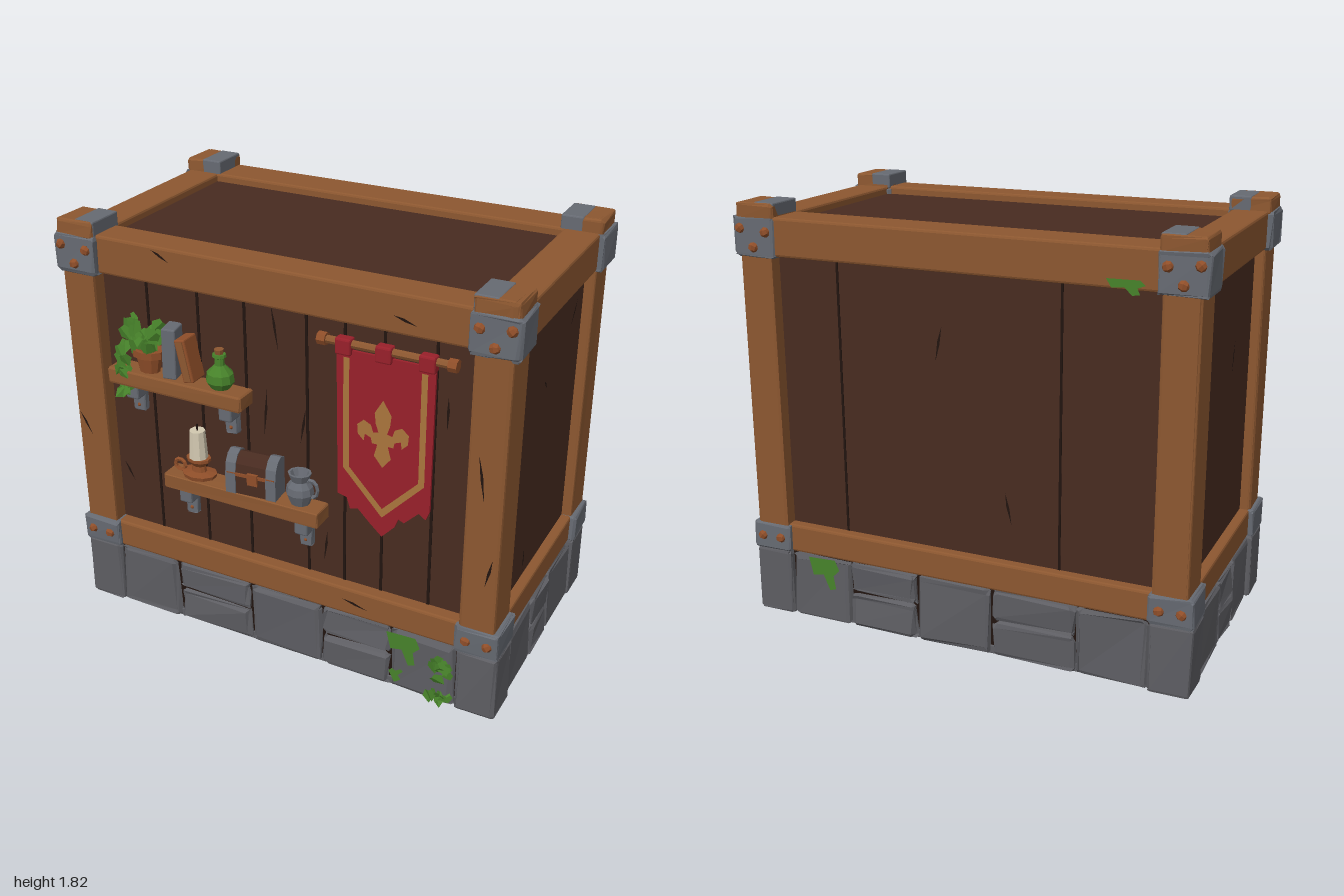
import * as THREE from 'three';
import { RoundedBoxGeometry } from 'three/addons/geometries/RoundedBoxGeometry.js';

const paint = (name, color, side = THREE.FrontSide) => new THREE.MeshStandardMaterial({ name, color, side });

// Hard facets for the chiselled low-poly look
function flat(geo) {
  const g = geo.index ? geo.toNonIndexed() : geo;
  g.computeVertexNormals();
  return g;
}

// Repeatable noise from a position, so shared corners move together
const hash = (x, y, z) => {
  const s = Math.sin(Math.round(x * 500) * 12.99 + Math.round(y * 500) * 78.23 + Math.round(z * 500) * 37.72) * 43758.5453;
  return s - Math.floor(s) - 0.5;
};

export function createModel() {
  const model = new THREE.Group();
  model.name = 'woodenStall';
  const wood = paint('wood', 0x8c5730);
  const darkWood = paint('darkWood', 0x482b20);
  const crackMat = paint('crack', 0x21140f, THREE.DoubleSide);
  const stone = paint('stone', 0x5d5d62);
  const metal = paint('metal', 0x666a72);
  const red = paint('redCloth', 0x98202a);
  const gold = paint('gold', 0xa9743c, THREE.DoubleSide);
  const green = paint('green', 0x47822a, THREE.DoubleSide);
  const cream = paint('wax', 0xd2c8b0);
  const clay = paint('clay', 0x8f4e29);

  function add(name, geo, mat, pos = [0, 0, 0], rot = [0, 0, 0], scale = [1, 1, 1], parent = model) {
    const m = new THREE.Mesh(geo, mat);
    m.name = name;
    m.position.set(...pos);
    m.rotation.set(...rot);
    m.scale.set(...scale);
    parent.add(m);
    return m;
  }
  // Chamfered box given by its limits, optionally roughened
  function block(name, mat, [x0, x1], [y0, y1], [z0, z1], bevel = 0.01, rough = 0) {
    const c = [(x0 + x1) / 2, (y0 + y1) / 2, (z0 + z1) / 2];
    const g = new RoundedBoxGeometry(x1 - x0, y1 - y0, z1 - z0, 1, bevel);
    const p = g.attributes.position;
    for (let i = 0; rough && i < p.count; i++) {
      const [x, y, z] = [p.getX(i) + c[0], p.getY(i) + c[1], p.getZ(i) + c[2]];
      p.setXYZ(i, p.getX(i) + rough * hash(x, y, z), p.getY(i) + (y < 0.02 ? 0 : rough * hash(y, z, x)), p.getZ(i) + rough * hash(z, x, y));
    }
    return add(name, flat(g), mat, c);
  }
  const span = (s, a, b) => (s > 0 ? [a, b] : [-b, -a]);
  const lathe = (pts, n = 10) => flat(new THREE.LatheGeometry(pts.map(p => new THREE.Vector2(...p)), n));

  // Stone footing: core, underside and corner stones
  block('footingJoints', crackMat, [-0.955, 0.955], [0.01, 0.3], [-0.55, 0.525]);
  block('footingUnderside', stone, [-0.96, 0.96], [0.002, 0.04], [-0.555, 0.53], 0.004);
  const zFront = [0.385, 0.552], zBack = [-0.582, -0.41];
  for (const s of [1, -1]) for (const z of [zFront, zBack])
    block('cornerStone', stone, span(s, 0.815, 0.99), [0, 0.3], z, 0.014, 0.008);
  // Wall stones, some split into two courses
  const courses = split => (split ? [[0, 0.155], [0.163, 0.298]] : [[0, 0.298]]);
  const edges = [-0.81, -0.51, -0.14, 0.205, 0.525, 0.81];
  for (let i = 0; i < 5; i++) for (const y of courses(i % 2)) {
    block('frontStone', stone, [edges[i] + 0.004, edges[i + 1] - 0.004], y, [0.4, 0.543], 0.02, 0.018);
    block('backStone', stone, [edges[i] + 0.004, edges[i + 1] - 0.004], y, [-0.573, -0.43], 0.02, 0.018);
  }
  const sideEdges = [-0.408, -0.115, 0.105, 0.383];
  for (const s of [1, -1]) for (let i = 0; i < 3; i++) for (const y of courses(i === 1))
    block('sideStone', stone, span(s, 0.83, 0.98), y, [sideEdges[i] + 0.004, sideEdges[i + 1] - 0.004], 0.02, 0.018);

  // Dark plank body
  block('plankBody', darkWood, [-0.925, 0.925], [0.3, 1.725], [-0.525, 0.485], 0.004);
  for (const x of [-0.61, -0.37, -0.155, 0.12, 0.285, 0.45, 0.66])
    add('plankGap', new THREE.BoxGeometry(0.012, 1.18, 0.004), crackMat, [x, 1.01, 0.486]);
  for (const x of [0.55, -0.42])
    add('backPlankGap', new THREE.BoxGeometry(0.01, 1.18, 0.004), crackMat, [x, 1.01, -0.526]);

  // Timber frame
  for (const s of [1, -1]) {
    for (const z of [zFront, zBack]) block('post', wood, span(s, 0.82, 0.97), [0.3, 1.813], z, 0.012, 0.006);
    block('sideTopBeam', wood, span(s, 0.82, 0.972), [1.6, 1.758], [-0.45, 0.43]);
    block('sideBottomBeam', wood, span(s, 0.83, 0.968), [0.3, 0.425], [-0.45, 0.43]);
  }
  block('frontTopBeam', wood, [-0.85, 0.85], [1.6, 1.76], [0.385, 0.535]);
  block('frontBottomBeam', wood, [-0.85, 0.85], [0.3, 0.425], [0.4, 0.542]);
  block('backTopBeam', wood, [-0.85, 0.85], [1.6, 1.76], [-0.58, -0.4]);
  block('backBottomBeam', wood, [-0.85, 0.85], [0.3, 0.425], [-0.57, -0.42]);

  // Metal corner brackets with rivets, wooden caps and straps
  const rivet = flat(new THREE.SphereGeometry(0.022, 6, 4));
  for (const s of [1, -1]) for (const f of [1, -1]) {
    const z = f > 0 ? [0.377, 0.562] : [-0.59, -0.402], face = f > 0 ? 0.562 : -0.59;
    block('topBracket', metal, span(s, 0.8, 0.995), [1.592, 1.757], z, 0.014, 0.01);
    block('bottomBracket', metal, span(s, 0.806, 0.992), [0.3, 0.425], z, 0.012, 0.008);
    block('postCap', wood, span(s, 0.808, 0.982), [1.74, 1.813], f > 0 ? [0.378, 0.555] : [-0.585, -0.405], 0.012, 0.006);
    block('capStrap', metal, span(s, 0.806, 0.9), [1.75, 1.816], f > 0 ? [0.377, 0.545] : [-0.575, -0.404], 0.006);
    for (const [x, y] of [[0.84, 1.7], [0.96, 1.71], [0.9, 1.635], [0.855, 0.362], [0.945, 0.362]])
      add('rivet', rivet, clay, [s * x, y, face], [0, 0, x * 9], [1, 1, 0.9]);
  }

  // Slivers of split grain: x, y, z, length, tilt, turn about y
  const sliver = new THREE.BufferGeometry();
  sliver.setAttribute('position', new THREE.Float32BufferAttribute([0, -0.5, 0, 0.007, 0.08, 0, 0, 0.5, 0, -0.005, 0, 0], 3));
  sliver.setIndex([0, 1, 2, 0, 2, 3]);
  const H = Math.PI / 2;
  for (const [x, y, z, len, tilt, turn] of [
    [-0.77, 0.67, 0.488, 0.1, 0.5, 0], [-0.02, 1.5, 0.488, 0.2, 0.15, 0], [-0.07, 1.12, 0.488, 0.22, -0.08, 0],
    [0.1, 1.1, 0.488, 0.16, -0.15, 0], [0.2, 0.57, 0.488, 0.15, -0.1, 0], [0.71, 1.3, 0.488, 0.14, 0, 0],
    [-0.5, 1.725, 0.537, 0.09, 1.1, 0], [0.55, 1.66, 0.537, 0.1, 1.3, 0], [0.36, 0.36, 0.544, 0.12, 1.35, 0],
    [-0.93, 0.9, 0.555, 0.12, 0.5, 0], [0.88, 1.1, 0.555, 0.2, 0.15, 0], [0.93, 0.7, 0.555, 0.13, -0.2, 0],
    [0.927, 1.45, -0.3, 0.12, -0.6, H], [0.927, 1.26, 0.01, 0.05, 0.7, H], [0.927, 0.5, 0.12, 0.1, 0, H],
    [-0.927, 1.2, 0.1, 0.14, 0.2, H], [0.1, 1.3, -0.528, 0.15, 0.2, 0], [-0.2, 0.65, -0.528, 0.14, -0.2, 0]])
    add('grainSplit', sliver, crackMat, [x, y, z], [0, turn, tilt], [1, len, 1]);

  // Shelves and their brackets
  for (const [x0, x1, y, b0, b1] of [[-0.765, -0.13, 1.145, -0.67, -0.22], [-0.52, 0.21, 0.705, -0.435, 0.12]]) {
    block('shelf', wood, [x0, x1], [y, y + 0.068], [0.47, 0.585], 0.007, 0.004);
    for (const b of [b0, b1]) {
      block('shelfBracketPlate', metal, [b - 0.028, b + 0.028], [y - 0.145, y - 0.05], [0.48, 0.515], 0.008, 0.006);
      block('shelfBracketArm', metal, [b - 0.03, b + 0.03], [y - 0.07, y + 0.005], [0.48, 0.56], 0.008);
      add('bracketNail', rivet, clay, [b, y - 0.115, 0.513], [0, 0, 0], [0.4, 0.4, 0.4]);
    }
  }

  // Upper shelf: pot, books, bottle
  add('flowerPot', lathe([[0, 0], [0.045, 0], [0.06, 0.07], [0.075, 0.07], [0.075, 0.1], [0.055, 0.1], [0, 0.085]]), clay, [-0.59, 1.213, 0.53], [0, 0, 0], [1, 1, 0.75]);
  add('greyBook', flat(new RoundedBoxGeometry(0.06, 0.22, 0.09, 1, 0.006)), metal, [-0.475, 1.324, 0.525], [0, 0.2, -0.03]);
  add('brownBook', flat(new RoundedBoxGeometry(0.05, 0.185, 0.09, 1, 0.006)), clay, [-0.395, 1.308, 0.525], [0, 0, 0.2]);
  add('bookPages', new THREE.BoxGeometry(0.03, 0.17, 0.006), wood, [-0.395, 1.308, 0.571], [0, 0, 0.2]);
  add('bottle', lathe([[0, 0], [0.04, 0], [0.06, 0.03], [0.056, 0.065], [0.022, 0.1], [0.02, 0.13], [0.03, 0.135], [0.028, 0.147], [0, 0.147]]), green, [-0.25, 1.213, 0.53], [0, 0, 0], [1, 1, 0.9]);
  add('cork', flat(new THREE.CylinderGeometry(0.02, 0.016, 0.025, 8)), wood, [-0.25, 1.368, 0.53]);

  // Lower shelf: candle
  add('candleHolder', lathe([[0, 0], [0.075, 0], [0.08, 0.018], [0.035, 0.025], [0.03, 0.05], [0.055, 0.075], [0.055, 0.088], [0, 0.088]]), clay, [-0.375, 0.773, 0.53], [0, 0, 0], [1, 1, 0.75]);
  add('holderHandle', flat(new THREE.TorusGeometry(0.025, 0.009, 5, 10)), clay, [-0.465, 0.805, 0.535]);
  add('candle', flat(new THREE.CylinderGeometry(0.033, 0.04, 0.13, 9)), cream, [-0.375, 0.922, 0.53]);
  add('wick', new THREE.CylinderGeometry(0.004, 0.004, 0.03, 5), crackMat, [-0.375, 1.0, 0.53]);

  // Chest with curved lid and metal bands
  const chest = new THREE.Group();
  chest.name = 'chest';
  chest.position.set(-0.1, 0.773, 0.525);
  chest.rotation.y = 0.08;
  model.add(chest);
  const lid = (r, w) => flat(new THREE.CylinderGeometry(r, r, w, 12).rotateZ(H).scale(1, 1.45, 1));
  add('chestBody', new THREE.BoxGeometry(0.21, 0.09, 0.11), darkWood, [0, 0.045, 0], [0, 0, 0], [1, 1, 1], chest);
  add('chestLid', lid(0.054, 0.208), darkWood, [0, 0.095, 0], [0, 0, 0], [1, 1, 1], chest);
  for (const x of [-0.09, 0.09]) {
    add('chestBand', new THREE.BoxGeometry(0.045, 0.092, 0.12), metal, [x, 0.046, 0], [0, 0, 0], [1, 1, 1], chest);
    add('lidBand', lid(0.058, 0.045), metal, [x, 0.095, 0], [0, 0, 0], [1, 1, 1], chest);
  }
  add('chestRim', new THREE.BoxGeometry(0.212, 0.014, 0.118), clay, [0, 0.09, 0], [0, 0, 0], [1, 1, 1], chest);
  add('chestLock', new THREE.BoxGeometry(0.045, 0.05, 0.014), clay, [0.01, 0.08, 0.058], [0, 0, 0], [1, 1, 1], chest);

  // Jug
  add('jug', lathe([[0, 0], [0.04, 0], [0.06, 0.05], [0.055, 0.08], [0.036, 0.105], [0.05, 0.14], [0.04, 0.14], [0.028, 0.11], [0, 0.11]]), metal, [0.105, 0.773, 0.53], [0, 0, 0], [1, 1, 0.9]);
  add('jugHandle', flat(new THREE.TorusGeometry(0.035, 0.009, 5, 10)), metal, [0.158, 0.85, 0.53], [0, 0, 0], [0.8, 1.1, 1]);

  // Banner on its pole
  add('bannerPole', flat(new THREE.CylinderGeometry(0.016, 0.016, 0.54, 7).rotateZ(H)), wood, [0.47, 1.515, 0.515]);
  for (const x of [0.205, 0.735]) add('poleEnd', flat(new THREE.CylinderGeometry(0.026, 0.026, 0.035, 7).rotateZ(H)), clay, [x, 1.515, 0.515]);
  const shape = pts => new THREE.Shape(pts.map(p => new THREE.Vector2(...p)));
  const cloth = shape([[0.265, 1.49], [0.27, 0.86], [0.31, 0.85], [0.325, 0.8], [0.36, 0.81], [0.41, 0.76], [0.465, 0.71],
    [0.52, 0.77], [0.535, 0.81], [0.56, 0.8], [0.62, 0.86], [0.65, 0.84], [0.665, 0.88], [0.67, 1.49]]);
  add('bannerCloth', flat(new THREE.ExtrudeGeometry(cloth, { depth: 0.012, bevelEnabled: false })), red, [0, 0, 0.508]);
  for (const x of [0.297, 0.463, 0.638]) block('bannerLoop', red, [x - 0.033, x + 0.033], [1.47, 1.538], [0.492, 0.538], 0.008);
  const trim = shape([[0.295, 1.46], [0.295, 0.985], [0.465, 0.8], [0.64, 0.985], [0.64, 1.46], [0.615, 1.46], [0.615, 0.995], [0.465, 0.84], [0.32, 0.995], [0.32, 1.46]]);
  add('bannerTrim', new THREE.ShapeGeometry(trim), gold, [0, 0, 0.5225]);
  const half = [[0, 0.145], [0.035, 0.085], [0.03, 0.04], [0.018, 0.005], [0.04, 0], [0.05, 0.03], [0.08, 0.045], [0.108, 0.02],
    [0.105, -0.02], [0.08, -0.045], [0.075, -0.015], [0.05, -0.025], [0.045, -0.048], [0.022, -0.048], [0.036, -0.1], [0, -0.145]];
  const emblem = shape([...half, ...half.slice(1, -1).reverse().map(([x, y]) => [-x, y])]);
  add('bannerLily', new THREE.ShapeGeometry(emblem), gold, [0.463, 1.17, 0.5225]);

  // Folded leaf: wide in the middle, pointed at the tip
  const leaf = new THREE.PlaneGeometry(1, 1, 2, 2);
  const lp = leaf.attributes.position;
  for (let i = 0; i < lp.count; i++) {
    const y = lp.getY(i), x = lp.getX(i) * (y > 0.1 ? 0.6 : y < -0.1 ? 0.02 : 1);
    lp.setXYZ(i, x, y, -Math.abs(x) * 0.45);
  }
  const leafGeo = flat(leaf);
  let seed = 7;
  const rnd = () => (seed = (seed * 16807) % 2147483647) / 2147483647;
  function foliage(name, n, cx, cy, cz, rx, ry, rz, size) {
    for (let i = 0; i < n; i++) {
      const a = rnd() * Math.PI * 2, r = Math.sqrt(rnd());
      add(name, leafGeo, green, [cx + Math.cos(a) * r * rx, cy + Math.sin(a) * r * ry, cz + (rnd() - 0.5) * 2 * rz],
        [rnd() * 0.8 - 0.5, rnd() - 0.5, rnd() * 1.8 - 0.9], [size, size * 1.15, size]);
    }
  }
  foliage('pottedLeaf', 26, -0.62, 1.365, 0.54, 0.085, 0.06, 0.045, 0.06);
  foliage('hangingLeaf', 14, -0.685, 1.21, 0.585, 0.03, 0.14, 0.012, 0.05);
  foliage('ivyLeaf', 9, 0.77, 0.17, 0.565, 0.045, 0.06, 0.01, 0.055);
  foliage('ivyLeaf', 7, 0.74, 0.05, 0.565, 0.05, 0.03, 0.01, 0.05);

  // Moss patches
  const moss = new THREE.ShapeGeometry(shape([[-0.1, 0.07], [-0.08, -0.01], [-0.03, 0.0], [0.0, -0.07], [0.03, -0.06], [0.02, 0.0], [0.05, 0.03], [0.03, 0.075]]));
  add('moss', moss, green, [0.61, 0.215, 0.553]);
  add('moss', moss, green, [0.56, 0.09, 0.553], [0, 0, 2], [0.45, 0.45, 1]);
  add('backMoss', moss, green, [0.62, 0.225, -0.584], [0, Math.PI, 0]);
  add('backTopMoss', moss, green, [-0.71, 1.61, -0.584], [0, Math.PI, 0], [1, 0.4, 1]);
  return model;
}
